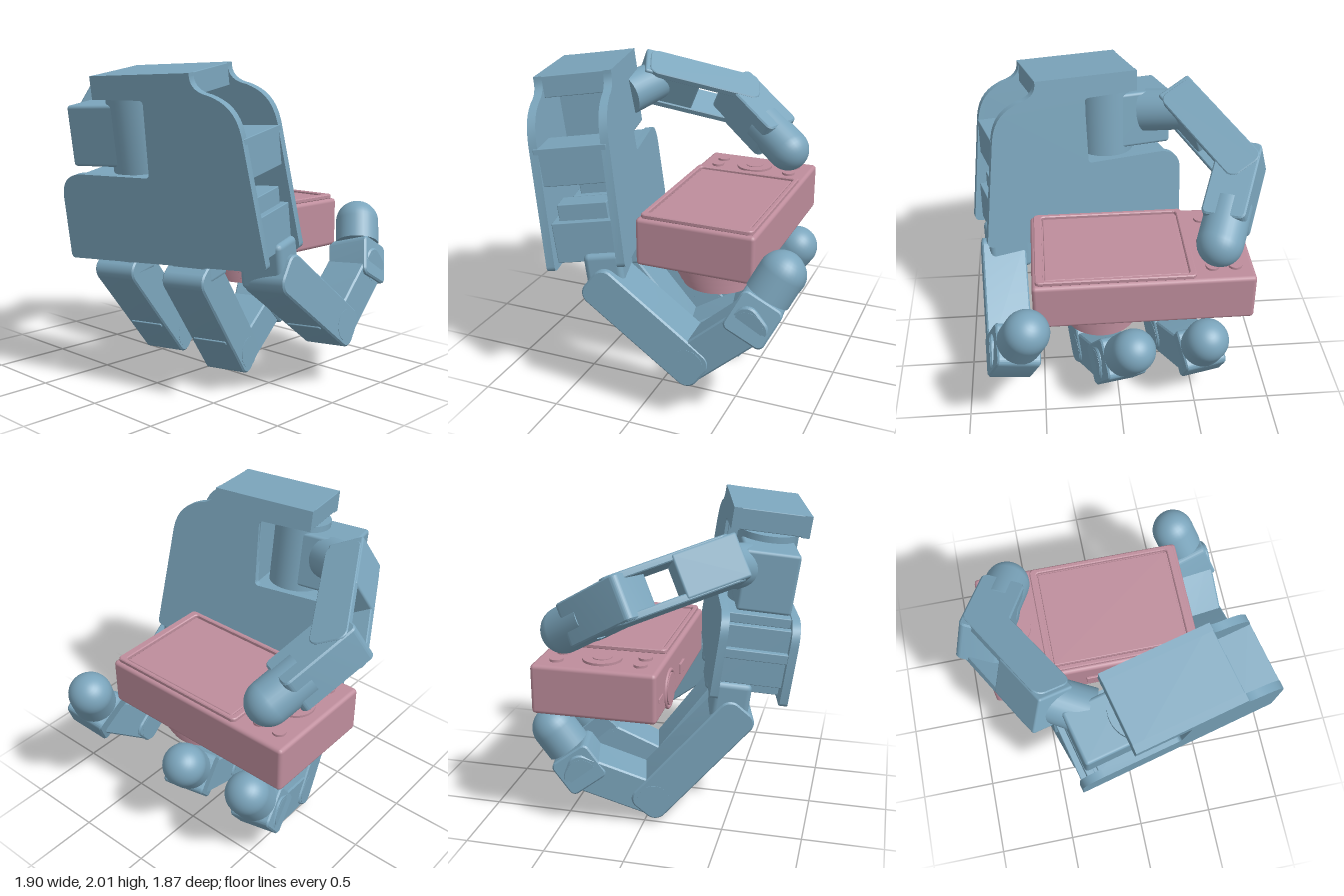
import * as THREE from 'three';
import { toCreasedNormals } from 'three/addons/utils/BufferGeometryUtils.js';
import { RoundedBoxGeometry } from 'three/addons/geometries/RoundedBoxGeometry.js';

const V = (x, y, z) => new THREE.Vector3(x, y, z);
const blue = new THREE.MeshStandardMaterial({ color: 0x7ba5bc });
const pink = new THREE.MeshStandardMaterial({ color: 0xbe8d9c });

function add(parent, name, geo, mat, x = 0, y = 0, z = 0) {
  const m = new THREE.Mesh(geo, mat);
  m.name = name;
  m.position.set(x, y, z);
  parent.add(m);
  return m;
}

// Box given by its minimum and maximum corners
function boxFromTo(parent, name, mat, a, b, r = 0.012) {
  const s = a.map((v, i) => b[i] - v);
  return add(parent, name, new RoundedBoxGeometry(s[0], s[1], s[2], 2, r), mat,
    ...a.map((v, i) => (v + b[i]) / 2));
}

function roundRect(x0, y0, x1, y1, r, Type = THREE.Shape) {
  const s = new Type();
  s.moveTo(x0 + r, y0);
  s.lineTo(x1 - r, y0); s.absarc(x1 - r, y0 + r, r, -Math.PI / 2, 0);
  s.lineTo(x1, y1 - r); s.absarc(x1 - r, y1 - r, r, 0, Math.PI / 2);
  s.lineTo(x0 + r, y1); s.absarc(x0 + r, y1 - r, r, Math.PI / 2, Math.PI);
  s.lineTo(x0, y0 + r); s.absarc(x0 + r, y0 + r, r, Math.PI, Math.PI * 1.5);
  return s;
}

function extrude(shape, depth, bevel = 0) {
  return toCreasedNormals(new THREE.ExtrudeGeometry(shape, {
    depth: depth - 2 * bevel, bevelEnabled: bevel > 0, bevelSize: bevel,
    bevelThickness: bevel, bevelOffset: -bevel, bevelSegments: 1, curveSegments: 8,
  }).translate(0, 0, -depth / 2 + bevel), 0.6);
}

// Group at joint a: y runs along the bone, z along the hinge axis
function boneFrame(parent, name, a, b, hinge) {
  const y = b.clone().sub(a).normalize();
  const z = hinge.clone().addScaledVector(y, -hinge.dot(y)).normalize();
  const x = y.clone().cross(z);
  const g = new THREE.Group();
  g.name = name;
  g.quaternion.setFromRotationMatrix(new THREE.Matrix4().makeBasis(x, y, z));
  g.position.copy(a);
  parent.add(g);
  return { g, len: a.distanceTo(b) };
}

// Long bone with rounded joints and a crossbar on its back
function bone(parent, name, a, b, hinge, w, t) {
  const { g, len } = boneFrame(parent, name, a, b, hinge);
  add(g, 'boneBody', extrude(roundRect(-t / 2, -t / 2, t / 2, len + t * 0.44, 0.075), w, 0.01), blue);
  boxFromTo(g, 'crossbar', blue, [t / 2 - 0.01, len * 0.62, -w * 0.4], [t / 2 + 0.01, len * 0.66, w * 0.4], 0.005);
  for (const s of [-1, 1]) {
    add(g, 'jointCap', new THREE.CylinderGeometry(t * 0.4, t * 0.4, 0.02, 28).rotateX(Math.PI / 2),
      blue, 0, len, s * (w / 2 - 0.008));
  }
}

// Last bone ending in a domed fingertip
function fingertip(parent, a, b, hinge, w, r, socket) {
  const { g, len } = boneFrame(parent, 'fingertip', a, b, hinge);
  add(g, 'tipSocket', extrude(roundRect(-w / 2, -w * 0.42, w / 2, len - socket, 0.04), w, 0.01), blue);
  add(g, 'tipBarrel', new THREE.CylinderGeometry(r, r, len * 0.5, 32), blue, 0, len * 0.75, 0);
  add(g, 'tipDome', new THREE.SphereGeometry(r, 32, 20), blue, 0, len, 0);
}

function buildPalm(parent) {
  const palm = new THREE.Group();
  palm.name = 'palm';
  palm.position.set(-0.37, 0.805, 0.86);
  palm.rotation.set(0.135, 0.244, 0);
  parent.add(palm);
  const T = 0.475;

  // Plate outline with an open window on the thumb side
  const s = new THREE.Shape();
  s.moveTo(0.03, 0);
  s.lineTo(1.31, 0.012); s.quadraticCurveTo(1.35, 0.015, 1.35, 0.05);
  s.lineTo(1.27, 0.76); s.bezierCurveTo(1.25, 0.9, 1.18, 0.95, 1.09, 0.985);
  s.quadraticCurveTo(0.98, 1.01, 0.98, 1.09);
  s.lineTo(0.98, 1.11); s.lineTo(0.31, 1.11); s.lineTo(0.31, 0.975);
  s.lineTo(0.635, 0.965); s.quadraticCurveTo(0.66, 0.96, 0.66, 0.94);
  s.lineTo(0.645, 0.54); s.quadraticCurveTo(0.64, 0.52, 0.62, 0.52);
  s.lineTo(0.14, 0.53); s.quadraticCurveTo(0, 0.52, 0, 0.38);
  s.lineTo(0, 0.03); s.quadraticCurveTo(0, 0, 0.03, 0);
  add(palm, 'backOfHandPlate', extrude(s, 0.05), blue, 0, 0, -0.025);
  add(palm, 'innerPalmPlate', extrude(s, 0.05), blue, 0, 0, -T + 0.025);

  // Walls and ribs between the plates
  const rib = (name, x0, y0, x1, y1, z0 = -T + 0.02, z1 = -0.02) =>
    boxFromTo(palm, name, blue, [x0, y0, z0], [x1, y1, z1], 0.005);
  rib('topLip', 0.31, 0.98, 0.98, 1.11, -T, 0);
  rib('windowWall', 0.65, 0.5, 0.7, 1.0);
  rib('windowFloor', 0.12, 0.46, 0.66, 0.52);
  rib('sideWall', 1.03, 0.52, 1.275, 0.75);
  rib('thumbSideWall', 0.05, 0.1, 0.1, 0.47);
  rib('thumbSideRib', 0.012, 0.27, 0.09, 0.33);

  // Knuckles hanging below the plates
  for (const x of [0.17, 0.7, 1.19]) {
    boxFromTo(palm, 'knuckle', blue, [x - 0.14, -0.19, -0.45], [x + 0.14, 0.1, -0.22], 0.035);
    rib('knuckleMount', x - 0.11, 0.05, x + 0.11, 0.3, -0.43, -0.06);
    rib('knuckleStop', x - 0.07, 0.28, x + 0.07, 0.4, -0.4, -0.1);
  }

  // Thumb pivot inside the window
  add(palm, 'thumbPivot', new THREE.CylinderGeometry(0.18, 0.18, 0.45, 36), blue, 0.45, 0.745, -0.235);
  boxFromTo(palm, 'thumbBase', blue, [0.05, 0.56, -0.4], [0.46, 0.93, -0.07], 0.02);
}

function buildCamera(parent) {
  const cam = new THREE.Group();
  cam.name = 'camera';
  parent.add(cam);
  boxFromTo(cam, 'cameraBody', pink, [-0.815, 0.805, -0.61], [0.54, 1.115, 0.155], 0.025);

  // Screen with raised bezel
  const bezel = roundRect(-0.45, -0.13, 0.52, 0.59, 0.03);
  bezel.holes.push(roundRect(-0.41, -0.1, 0.47, 0.56, 0.02, THREE.Path));
  add(cam, 'screenBezel', extrude(bezel, 0.03, 0.006).rotateX(-Math.PI / 2), pink, 0, 1.127, 0);
  boxFromTo(cam, 'screen', pink, [-0.4, 1.1, -0.55], [0.46, 1.13, 0.09], 0.006);

  // Controls: [x, z, radius, height]
  for (const [x, z, r, h] of [[-0.62, -0.22, 0.12, 0.015], [-0.62, -0.22, 0.06, 0.02], [-0.56, 0.03, 0.042, 0.015],
    [-0.68, 0.03, 0.042, 0.015], [-0.56, -0.48, 0.042, 0.015], [-0.7, -0.48, 0.042, 0.015]]) {
    add(cam, 'button', new THREE.CylinderGeometry(r, r, h, 32), pink, x, 1.115 + h / 2, z);
  }

  // Front details
  add(cam, 'dialRing', new THREE.TorusGeometry(0.115, 0.012, 10, 40), pink, -0.48, 0.91, 0.155);
  add(cam, 'dial', new THREE.CylinderGeometry(0.1, 0.1, 0.03, 36).rotateX(Math.PI / 2), pink, -0.48, 0.91, 0.155);
  boxFromTo(cam, 'sensorWindow', pink, [-0.745, 0.915, 0.14], [-0.65, 0.945, 0.16], 0.005);
  boxFromTo(cam, 'frontTab', pink, [-0.21, 0.9, 0.14], [-0.1, 0.97, 0.168], 0.005);

  // Stepped lens barrel with a recessed glass
  const profile = [[0.34, 0.83], [0.34, 0.785], [0.315, 0.775], [0.315, 0.755], [0.285, 0.75], [0.285, 0.71], [0.27, 0.705],
    [0.27, 0.665], [0.25, 0.66], [0.25, 0.625], [0.23, 0.62], [0.23, 0.59], [0.2, 0.59], [0.19, 0.66], [0.09, 0.66],
    [0.08, 0.64], [0, 0.635]].map(p => new THREE.Vector2(...p)).reverse();
  const lens = add(cam, 'lens', toCreasedNormals(new THREE.LatheGeometry(profile, 48), 0.5), pink, 0.11, 0, -0.23);
  lens.material = pink.clone();
  lens.material.side = THREE.DoubleSide;
}

// Thumb reaching over the top of the camera, hinged on a near-vertical axis
function buildThumb(parent) {
  const thumb = new THREE.Group();
  thumb.name = 'thumb';
  parent.add(thumb);
  const [t0, t1, t2, t3] = [V(-0.25, 1.64, 0.58), V(-0.51, 1.7, 0.45), V(-0.78, 1.54, -0.04), V(-0.6, 1.275, -0.46)];
  const hinge = V(0.27, 0.86, -0.43);
  const link = boneFrame(thumb, 'thumbLink', t0, t1, V(0, 1, 0));
  add(link.g, 'linkBarrel', new THREE.CylinderGeometry(0.13, 0.14, link.len, 28), blue, 0, link.len / 2, 0);

  // Two cheeks around an open joint, with a solid root
  const { g, len } = boneFrame(thumb, 'thumbBone', t1, t2, hinge);
  for (const z of [-0.12, 0.12]) {
    add(g, 'cheek', extrude(roundRect(-0.12, -0.1, 0.12, len + 0.1, 0.06), 0.045, 0.006), blue, 0, 0, z);
  }
  boxFromTo(g, 'boneRoot', blue, [-0.125, -0.13, -0.135], [0.11, len * 0.45, 0.135], 0.015);
  add(g, 'jointPin', new THREE.CylinderGeometry(0.09, 0.09, 0.28, 28).rotateX(Math.PI / 2), blue, 0, len, 0);

  fingertip(thumb, t2, t3, hinge, 0.27, 0.143, 0.12);
}

export function createModel() {
  const model = new THREE.Group();
  model.name = 'handHoldingCamera';
  buildPalm(model);
  buildCamera(model);
  buildThumb(model);

  // Three fingers: hinge axis, then knuckle, two joints and tip
  const fingers = {
    indexFinger: [V(0.97, 0.03, -0.25), V(-0.29, 0.69, 0.49), V(-0.4, 0.17, 0.03), V(-0.52, 0.36, -0.4), V(-0.54, 0.6, -0.57)],
    middleFinger: [V(0.97, 0.03, -0.24), V(0.23, 0.68, 0.39), V(0.14, 0.13, -0.02), V(0.03, 0.36, -0.44), V(-0.07, 0.6, -0.63)],
    outerFinger: [V(1, 0.08, -0.09), V(0.74, 0.75, 0.21), V(0.72, 0.37, -0.3), V(0.68, 0.68, -0.66), V(0.58, 0.94, -0.79)],
  };
  for (const [name, [hinge, ...p]] of Object.entries(fingers)) {
    const g = new THREE.Group();
    g.name = name;
    model.add(g);
    bone(g, 'proximalBone', p[0], p[1], hinge, 0.29, 0.25);
    bone(g, 'middleBone', p[1], p[2], hinge, 0.27, 0.23);
    fingertip(g, p[2], p[3], hinge, 0.27, 0.14, 0.16);
  }
  return model;
}
